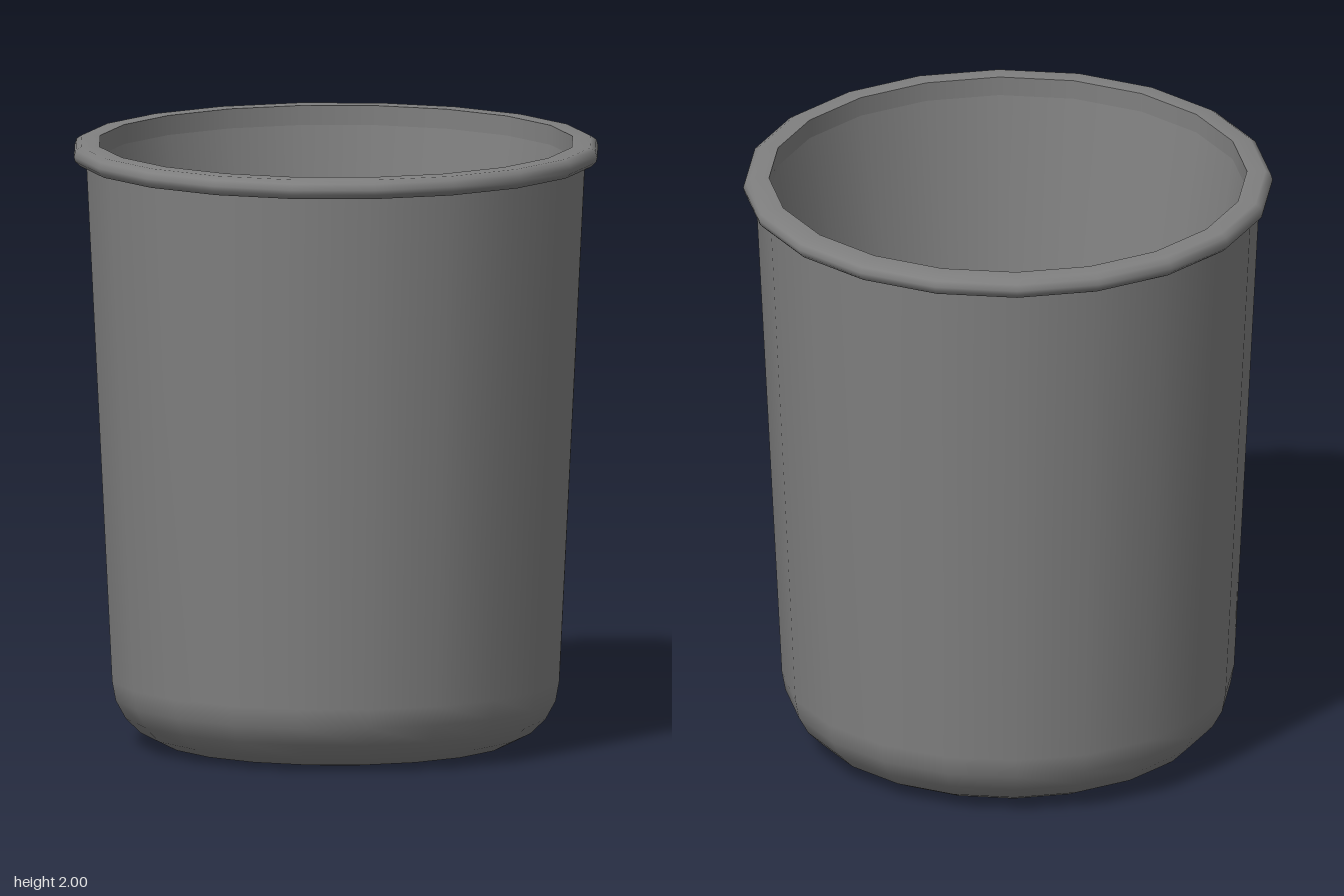
import * as THREE from 'three';

const SIDES = 20;

export function createModel() {
  const model = new THREE.Group();
  model.name = 'cup';
  const grey = new THREE.MeshStandardMaterial({ color: 0x808080 });
  grey.name = 'mid grey';

  // Each profile is a list of [radius, height]; separate profiles meet at sharp edges
  const turn = (name, profile) => {
    const points = profile.map(([r, y]) => new THREE.Vector2(r, y));
    const mesh = new THREE.Mesh(new THREE.LatheGeometry(points, SIDES), grey);
    mesh.name = name;
    model.add(mesh);
  };

  // Flat underside
  turn('base', [[0, 0], [0.51, 0]]);

  // Tapered outside with a rounded foot
  turn('outerWall', [
    [0.51, 0], [0.585, 0.012], [0.65, 0.045], [0.7, 0.095],
    [0.733, 0.155], [0.745, 0.22], [0.83, 1.935],
  ]);

  // Rolled lip, then its flat inner band
  turn('rim', [
    [0.83, 1.935], [0.853, 1.937], [0.868, 1.952], [0.872, 1.968],
    [0.866, 1.988], [0.848, 2], [0.787, 2],
  ]);
  turn('rimInnerBand', [[0.787, 2], [0.787, 1.935]]);

  // Conical inside and floor
  turn('innerWall', [[0.787, 1.935], [0.51, 0.08]]);
  turn('floor', [[0.51, 0.08], [0, 0.08]]);

  return model;
}
